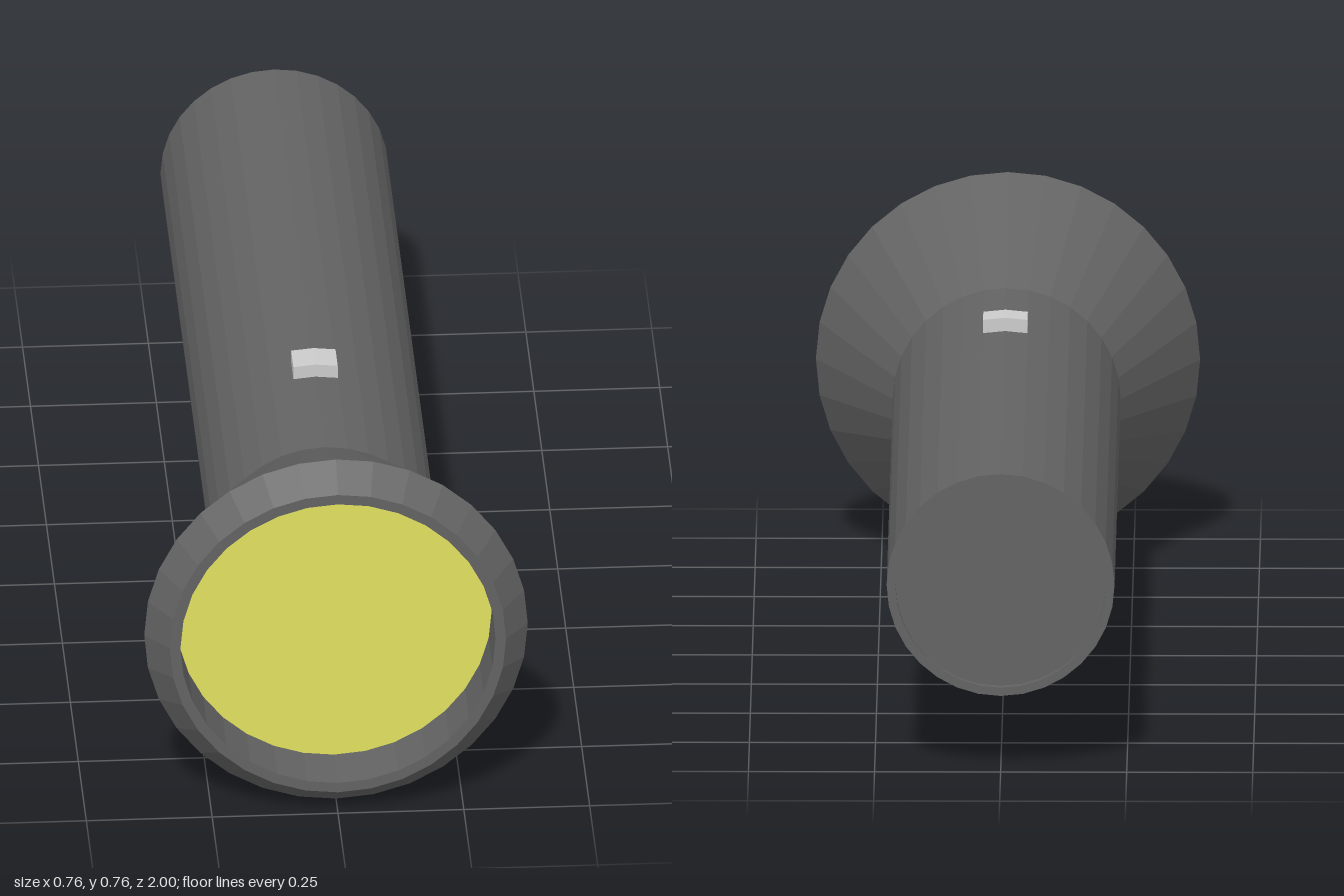
import * as THREE from 'three';

const SIDES = 32;
const AXIS_Y = 0.381; // height of the torch's centre line
const BODY_R = 0.226;

const paint = (color) => new THREE.MeshStandardMaterial({ color, flatShading: true, side: THREE.DoubleSide });

// Turned part: profile of [radius, z] pairs, from back to front
function turned(name, profile, material) {
  const points = profile.map(([r, z]) => new THREE.Vector2(r, z));
  const geometry = new THREE.LatheGeometry(points, SIDES);
  geometry.rotateX(Math.PI / 2);
  const mesh = new THREE.Mesh(geometry, material);
  mesh.name = name;
  mesh.position.y = AXIS_Y;
  return mesh;
}

export function createModel() {
  const group = new THREE.Group();
  group.name = 'flashlight';
  const dark = paint(0x636363);

  // Barrel with a shallow recessed end cap
  group.add(turned('barrel', [
    [0, -0.985], [0.209, -0.985], [0.209, -1], [BODY_R, -1], [BODY_R, 0.595],
  ], dark));

  // Flared head, chamfered rim and the inner wall down to the lens
  group.add(turned('head', [
    [BODY_R, 0.595], [0.381, 0.938], [0.334, 1], [0.313, 1], [0.313, 0.88],
  ], dark));

  // Recessed lens
  const lens = new THREE.Mesh(new THREE.CircleGeometry(0.313, SIDES), paint(0xe2e260));
  lens.name = 'lens';
  lens.position.set(0, AXIS_Y, 0.88);
  group.add(lens);

  // Slide switch: an arched block following two facets of the barrel
  const half = BODY_R * Math.sin(Math.PI / 16);
  const edge = BODY_R * Math.cos(Math.PI / 16);
  const rise = 0.027;
  const arch = new THREE.Shape([
    [-half, edge], [0, BODY_R], [half, edge],
    [half, edge + rise], [0, BODY_R + rise], [-half, edge + rise],
  ].map(([x, y]) => new THREE.Vector2(x, y)));
  const button = new THREE.Mesh(
    new THREE.ExtrudeGeometry(arch, { depth: 0.07, bevelEnabled: false }),
    paint(0xcccccc),
  );
  button.name = 'switch';
  button.position.set(0, AXIS_Y, 0.227);
  group.add(button);

  return group;
}
